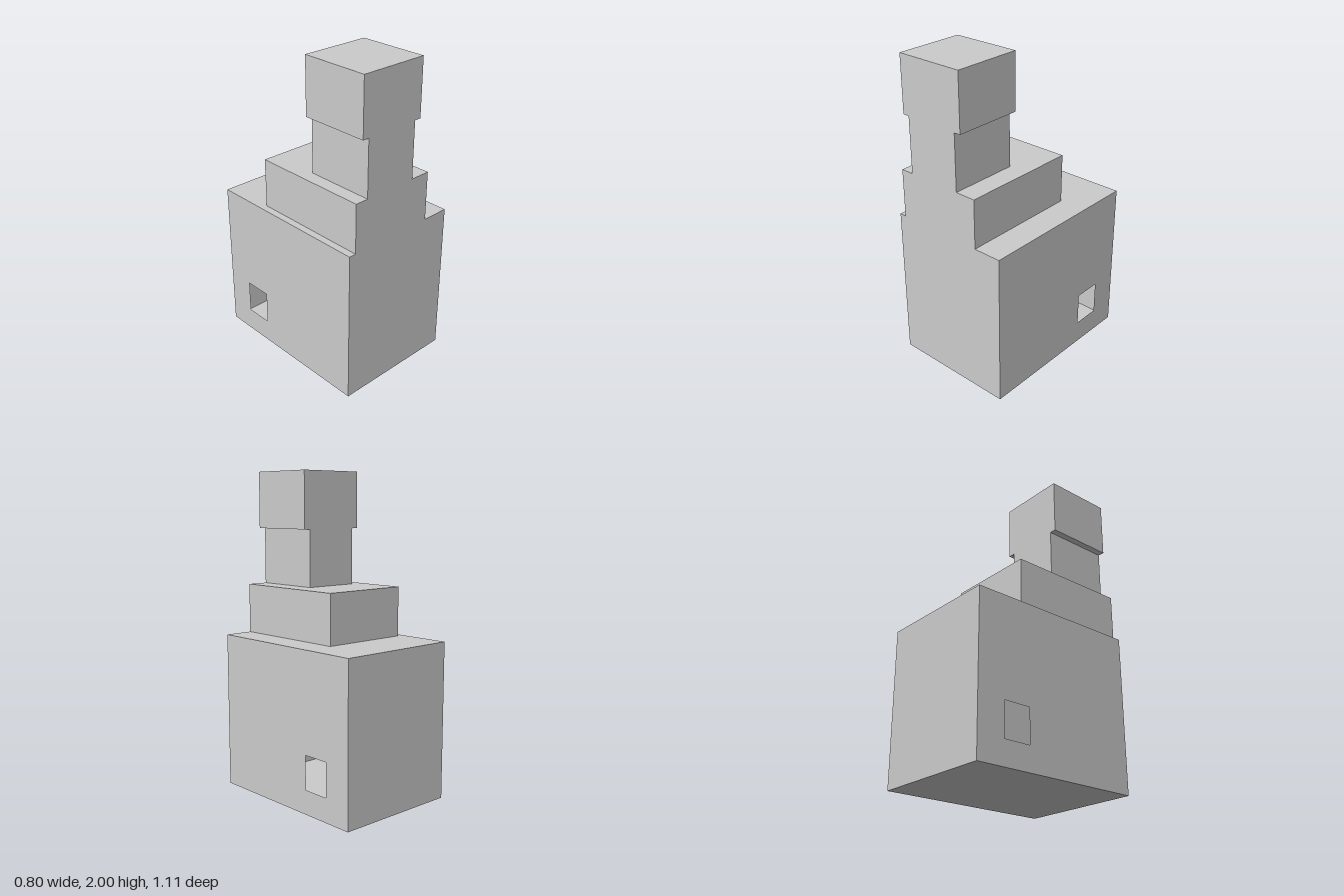
import * as THREE from 'three';

const W = 0.8, H = 0.98, D = 1.11;

export function createModel() {
  const model = new THREE.Group();
  const solid = new THREE.MeshStandardMaterial({ color: 0xcccccc, flatShading: true });
  const thin = new THREE.MeshStandardMaterial({ color: 0xcccccc, flatShading: true, side: THREE.DoubleSide });

  const add = (parent, name, geometry, material) => {
    const mesh = new THREE.Mesh(geometry, material);
    mesh.name = name;
    parent.add(mesh);
    return mesh;
  };

  // Hollow base made of thin walls
  const base = new THREE.Group();
  base.name = 'hollowBase';
  model.add(base);
  const panel = (name, w, h, rotX, rotY, x, y, z) => {
    const geometry = new THREE.PlaneGeometry(w, h).rotateX(rotX).rotateY(rotY).translate(x, y, z);
    add(base, name, geometry, thin);
  };
  panel('frontWall', W, H, 0, 0, 0, H / 2, D / 2);
  panel('backWall', W, H, 0, Math.PI, 0, H / 2, -D / 2);
  panel('floor', W, D, Math.PI / 2, 0, 0, 0, 0);
  panel('baseTop', W, D, -Math.PI / 2, 0, 0, H, 0);

  // Side walls, each with a small window near the back
  for (const side of [1, -1]) {
    const rect = (path, z0, z1, y0, y1) => path
      .moveTo(-side * z0, y0).lineTo(-side * z1, y0)
      .lineTo(-side * z1, y1).lineTo(-side * z0, y1).closePath();
    const wall = rect(new THREE.Shape(), -D / 2, D / 2, 0, H);
    wall.holes.push(rect(new THREE.Path(), -0.375, -0.2, 0.15, 0.36));
    const geometry = new THREE.ShapeGeometry(wall).rotateY(side * Math.PI / 2);
    add(base, side > 0 ? 'leftWall' : 'rightWall', geometry, thin).position.x = side * W / 2;
  }

  // Stacked blocks, all flush with the front: name, x range, y range, back z
  const blocks = [
    ['step', -0.355, 0.22, H, 1.29, -0.215],
    ['neck', -0.27, 0.087, 1.29, 1.645, 0.113],
    ['head', -0.312, 0.13, 1.645, 2, 0.113],
  ];
  for (const [name, x0, x1, y0, y1, z0] of blocks) {
    add(model, name, new THREE.BoxGeometry(x1 - x0, y1 - y0, D / 2 - z0), solid)
      .position.set((x0 + x1) / 2, (y0 + y1) / 2, (z0 + D / 2) / 2);
  }
  return model;
}

// Chainable path calls: closePath returns the path in three.js
